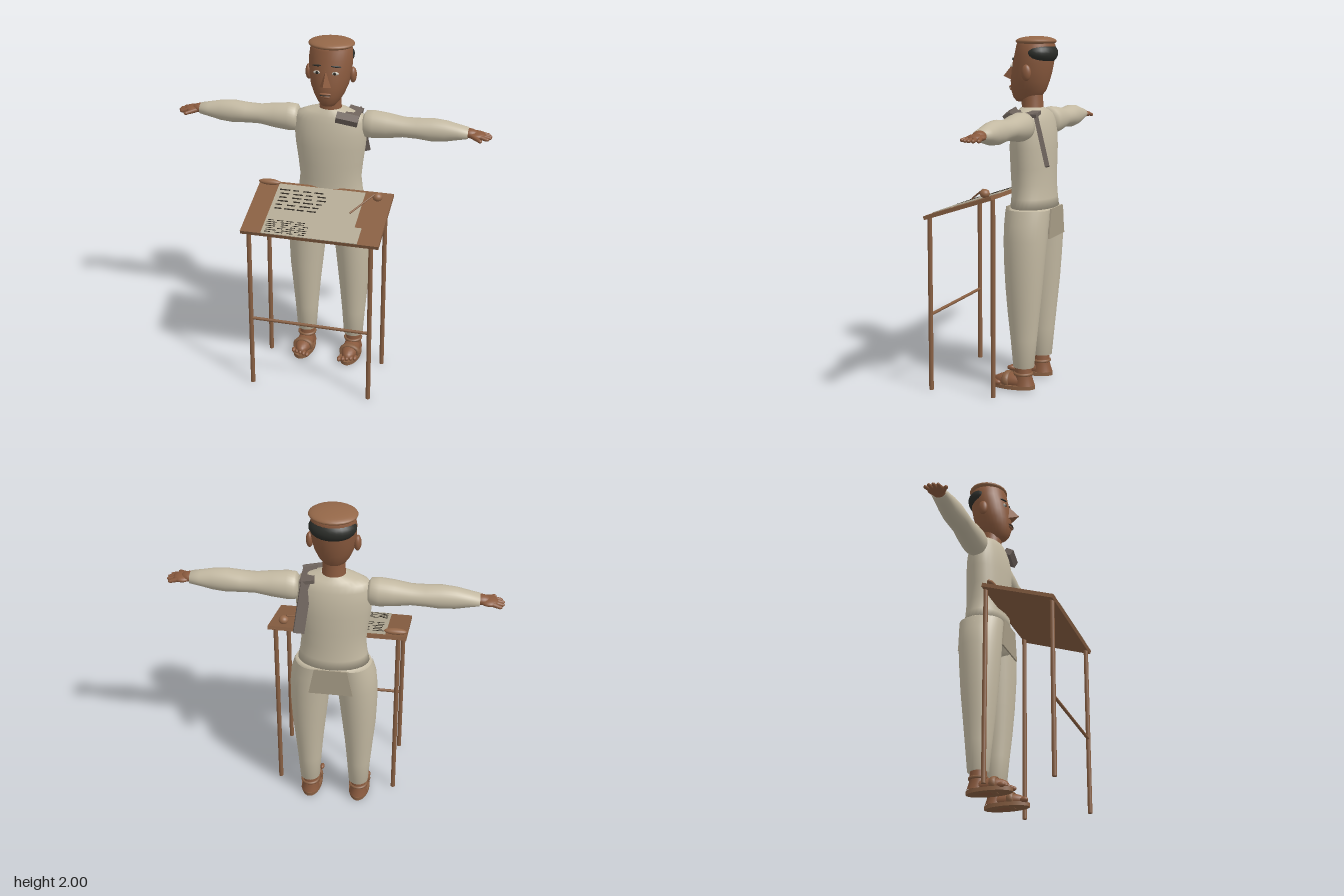
import * as THREE from 'three';

const mat = (name, color) => Object.assign(new THREE.MeshStandardMaterial({ color }), { name });
const M = {
  cloth: mat('cream cloth', 0xc3b9a2),
  flap: mat('tunic flap', 0xa89d87),
  skin: mat('brown skin', 0x8a5a3e),
  cap: mat('cap brown', 0x946748),
  hair: mat('black hair', 0x2b2d29),
  wood: mat('wood', 0x885f42),
  paper: mat('paper', 0xb3aa95),
  ink: mat('ink', 0x2e2922),
  sash: mat('grey sash', 0x6e635c),
  eye: mat('eye white', 0xc9c4b8),
};

function add(parent, name, geo, material, x = 0, y = 0, z = 0) {
  const m = new THREE.Mesh(geo, material);
  m.name = name;
  m.position.set(x, y, z);
  parent.add(m);
  return m;
}

// smooth skin over elliptical sections: [height, radiusX, centreZ, radiusZ, centreX]
function loft(rows, n = 32) {
  const pos = [], idx = [];
  rows.forEach(([y, rx, cz, rz, cx = 0], r) => {
    for (let i = 0; i < n; i++) {
      const a = (i / n) * Math.PI * 2;
      pos.push(cx + rx * Math.cos(a), y, cz + rz * Math.sin(a));
      if (r === rows.length - 1) continue;
      const p = r * n + i, q = r * n + (i + 1) % n;
      idx.push(p, p + n, q, q, p + n, q + n);
    }
  });
  const g = new THREE.BufferGeometry();
  g.setAttribute('position', new THREE.Float32BufferAttribute(pos, 3));
  g.setIndex(idx);
  g.computeVertexNormals();
  return g;
}

const ball = (rx, ry, rz) => new THREE.SphereGeometry(1, 24, 16).scale(rx, ry, rz);

// round bar between two points
function rod(parent, name, a, b, r, material, r2 = r) {
  const p = new THREE.Vector3(...a), d = new THREE.Vector3(...b).sub(p);
  const m = add(parent, name, new THREE.CylinderGeometry(r2, r, d.length(), 14), material);
  m.position.copy(p).addScaledVector(d, 0.5);
  m.quaternion.setFromUnitVectors(new THREE.Vector3(0, 1, 0), d.normalize());
  return m;
}

function buildHead() {
  const g = new THREE.Group();
  g.name = 'head';
  add(g, 'skull', loft([
    [1.63, 0.002, -0.12, 0.002], [1.636, 0.04, -0.12, 0.045], [1.66, 0.062, -0.135, 0.08],
    [1.70, 0.086, -0.146, 0.101], [1.75, 0.107, -0.154, 0.11], [1.80, 0.117, -0.164, 0.114],
    [1.85, 0.122, -0.172, 0.115], [1.90, 0.124, -0.182, 0.112], [1.95, 0.118, -0.187, 0.107],
    [1.975, 0.1, -0.187, 0.095], [1.98, 0.002, -0.187, 0.002]]), M.skin);
  add(g, 'neck', loft([[1.55, 0.075, -0.17, 0.07], [1.6, 0.064, -0.17, 0.061], [1.68, 0.06, -0.165, 0.06]]), M.skin);
  add(g, 'hair', ball(0.127, 0.07, 0.1), M.hair, 0, 1.905, -0.21);
  add(g, 'cap', ball(0.131, 0.028, 0.113), M.cap, 0, 1.971, -0.189);
  // pointed nose
  const nose = new THREE.BufferGeometry();
  nose.setAttribute('position', new THREE.Float32BufferAttribute(
    [0, 1.85, -0.055, 0, 1.775, 0.008, -0.033, 1.757, -0.05, 0.033, 1.757, -0.05], 3));
  nose.setIndex([0, 2, 1, 0, 1, 3, 1, 2, 3]);
  const noseFlat = nose.toNonIndexed();
  noseFlat.computeVertexNormals();
  add(g, 'nose', noseFlat, M.skin);
  add(g, 'upperLip', ball(0.034, 0.007, 0.012), M.skin, 0, 1.719, -0.045);
  add(g, 'lowerLip', ball(0.028, 0.008, 0.012), M.skin, 0, 1.704, -0.046);
  add(g, 'mouthLine', ball(0.032, 0.003, 0.01), M.hair, 0, 1.712, -0.0415);
  for (const s of [-1, 1]) {
    add(g, 'ear', ball(0.02, 0.045, 0.028), M.skin, s * 0.127, 1.8, -0.178);
    add(g, 'eye', ball(0.023, 0.01, 0.008), M.eye, s * 0.05, 1.836, -0.066);
    add(g, 'iris', ball(0.009, 0.009, 0.004), M.ink, s * 0.05, 1.836, -0.0605);
    const brow = add(g, 'brow', ball(0.03, 0.005, 0.006), M.hair, s * 0.055, 1.873, -0.073);
    brow.rotation.set(0, s * 0.35, -s * 0.12);
  }
  return g;
}

function buildArm(s) {
  const g = new THREE.Group();
  g.name = s > 0 ? 'leftArm' : 'rightArm';
  add(g, 'sleeve', loft([
    [0.185, 0.002, 0, 0.002], [0.19, 0.055, 0, 0.05], [0.205, 0.077, 0, 0.072], [0.25, 0.08, 0, 0.076],
    [0.33, 0.072, 0, 0.072], [0.42, 0.057, 0, 0.064], [0.5, 0.058, 0, 0.066], [0.58, 0.066, 0, 0.064],
    [0.66, 0.06, 0, 0.057], [0.73, 0.044, 0, 0.05], [0.785, 0.032, 0, 0.045], [0.79, 0.002, 0, 0.002],
  ]).rotateZ(-s * Math.PI / 2), M.cloth, 0, 1.512, -0.19);
  add(g, 'wrist', ball(0.05, 0.027, 0.036), M.skin, s * 0.79, 1.513, -0.188);
  add(g, 'palm', ball(0.05, 0.02, 0.05), M.skin, s * 0.832, 1.507, -0.188);
  for (let i = 0; i < 4; i++) {
    const z = -0.227 + i * 0.025, tip = 0.908 - Math.abs(i - 1.5) * 0.012;
    rod(g, 'finger', [s * 0.85, 1.507, -0.188 + (z + 0.188) * 0.8], [s * tip, 1.497, z], 0.013, M.skin, 0.01);
    add(g, 'fingertip', ball(0.015, 0.01, 0.01), M.skin, s * tip, 1.497, z);
  }
  rod(g, 'thumb', [s * 0.81, 1.507, -0.16], [s * 0.858, 1.496, -0.122], 0.015, M.skin, 0.01);
  add(g, 'thumbTip', ball(0.013, 0.01, 0.011), M.skin, s * 0.858, 1.496, -0.122);
  return g;
}

function buildLeg(s) {
  const g = new THREE.Group();
  g.name = s > 0 ? 'leftLeg' : 'rightLeg';
  const x = s * 0.147;
  add(g, 'trouserLeg', loft([
    [0.132, 0.01, -0.177, 0.01, x], [0.135, 0.058, -0.177, 0.06, x], [0.3, 0.07, -0.177, 0.076, x],
    [0.45, 0.083, -0.176, 0.092, x], [0.6, 0.098, -0.177, 0.106, s * 0.146], [0.75, 0.109, -0.178, 0.117, s * 0.141],
    [0.87, 0.115, -0.18, 0.124, s * 0.134], [0.96, 0.117, -0.182, 0.126, s * 0.124],
    [1.04, 0.11, -0.184, 0.128, s * 0.108]]), M.cloth);
  add(g, 'ankle', loft([[0.03, 0.055, -0.18, 0.06, x], [0.08, 0.045, -0.175, 0.05, x], [0.16, 0.043, -0.175, 0.045, x]]), M.skin);
  add(g, 'foot', ball(0.052, 0.045, 0.115), M.skin, x, 0.047, -0.115);
  add(g, 'sole', new THREE.CylinderGeometry(1, 1, 0.022, 32).scale(0.062, 1, 0.132), M.wood, x, 0.019, -0.112);
  const band = add(g, 'sandalBand', new THREE.TorusGeometry(0.048, 0.01, 8, 24), M.wood, x, 0.05, -0.08);
  band.scale.set(1.1, 0.85, 2);
  const strap = add(g, 'ankleBand', new THREE.TorusGeometry(0.048, 0.009, 8, 24), M.wood, x, 0.095, -0.175);
  strap.rotation.x = Math.PI / 2;
  for (let i = 0; i < 5; i++) {
    add(g, 'toe', ball(0.013, 0.015, 0.023), M.skin, x + s * (i - 2) * 0.023, 0.038, 0.002 - i * 0.008);
  }
  return g;
}

function buildBody() {
  const g = new THREE.Group();
  g.name = 'body';
  add(g, 'tunic', loft([
    [1.04, 0.002, -0.185, 0.002], [1.041, 0.202, -0.185, 0.127], [1.1, 0.19, -0.184, 0.122],
    [1.18, 0.181, -0.181, 0.12], [1.27, 0.19, -0.179, 0.122], [1.38, 0.205, -0.178, 0.123],
    [1.46, 0.212, -0.178, 0.118], [1.53, 0.208, -0.178, 0.104], [1.565, 0.19, -0.176, 0.09],
    [1.585, 0.14, -0.173, 0.079], [1.605, 0.066, -0.17, 0.062]]), M.cloth);
  add(g, 'trouserSeat', loft([
    [0.87, 0.02, -0.18, 0.06], [0.9, 0.16, -0.18, 0.115], [0.95, 0.238, -0.182, 0.124],
    [1.0, 0.23, -0.184, 0.13], [1.045, 0.212, -0.185, 0.13], [1.046, 0.002, -0.185, 0.002]]), M.cloth);
  // hanging flaps, front and back
  const shape = new THREE.Shape();
  [[-0.125, 0.88], [0.125, 0.88], [0.093, 1.045], [-0.093, 1.045]].forEach(([x, y], i) => i ? shape.lineTo(x, y) : shape.moveTo(x, y));
  for (const z of [-0.055, -0.32]) {
    add(g, 'tunicFlap', new THREE.ExtrudeGeometry(shape, { depth: 0.009, bevelEnabled: false }), M.flap, 0, 0, z);
  }
  // sash over the left shoulder
  const front = add(g, 'sashFront', new THREE.BoxGeometry(0.125, 0.042, 0.05), M.sash, 0.116, 1.567, -0.085);
  front.rotation.set(0.5, 0, -0.2);
  const top = add(g, 'sashShoulder', new THREE.BoxGeometry(0.08, 0.02, 0.17), M.sash, 0.135, 1.575, -0.17);
  top.rotation.z = -0.2;
  const back = add(g, 'sashBack', new THREE.BoxGeometry(0.06, 0.3, 0.022), M.sash, 0.155, 1.435, -0.28);
  back.rotation.set(0.25, 0.3, 0.12);
  return g;
}

function buildDesk() {
  const g = new THREE.Group();
  g.name = 'desk';
  for (const s of [-1, 1]) {
    rod(g, 'frontLeg', [s * 0.35, 0, 0.31], [s * 0.35, 1.0, 0.31], 0.013, M.wood);
    rod(g, 'backLeg', [s * 0.35, 0, -0.073], [s * 0.35, 1.13, -0.073], 0.013, M.wood);
  }
  rod(g, 'stretcher', [-0.35, 0.44, 0.31], [0.35, 0.44, 0.31], 0.009, M.wood);

  // sloping top with its sheet
  const top = new THREE.Group();
  top.name = 'deskTop';
  top.position.set(0, 1.066, 0.123);
  top.rotation.x = 0.318;
  g.add(top);
  add(top, 'board', new THREE.BoxGeometry(0.79, 0.022, 0.43), M.wood);
  add(top, 'paper', new THREE.BoxGeometry(0.51, 0.004, 0.41), M.paper, -0.02, 0.0125, 0.009);
  add(top, 'paperStep', new THREE.BoxGeometry(0.04, 0.004, 0.124), M.paper, 0.255, 0.0125, 0.152);

  // rows of abstract ink dashes
  let seed = 7;
  const rnd = () => (seed = (seed * 16807) % 2147483647) / 2147483647;
  const dashes = (rows, z0, dz, x0, x1, h) => {
    for (let r = 0; r < rows; r++) {
      for (let x = x0 + rnd() * 0.02; x < x1 - 0.02;) {
        const w = Math.min(0.025 + rnd() * 0.04, x1 - x);
        add(top, 'inkDash', new THREE.BoxGeometry(w, 0.001, h), M.ink, x + w / 2, 0.0152, z0 + r * dz);
        x += w + 0.012 + rnd() * 0.02;
      }
    }
  };
  dashes(6, -0.148, 0.031, -0.26, 0.035, 0.009);
  dashes(7, 0.105, 0.0155, -0.27, -0.02, 0.005);

  // dish, ink pot and pen
  add(g, 'dish', ball(0.065, 0.017, 0.022), M.cap, -0.33, 1.153, -0.043);
  add(g, 'inkPot', ball(0.028, 0.025, 0.028), M.cap, 0.315, 1.146, -0.01);
  rod(g, 'pen', [0.187, 1.092, 0.123], [0.3, 1.166, 0.005], 0.005, M.wood);
  return g;
}

export function createModel() {
  const model = new THREE.Group();
  model.name = 'scribeAtDesk';
  model.add(buildBody(), buildHead(), buildDesk());
  for (const s of [-1, 1]) model.add(buildArm(s), buildLeg(s));
  return model;
}
